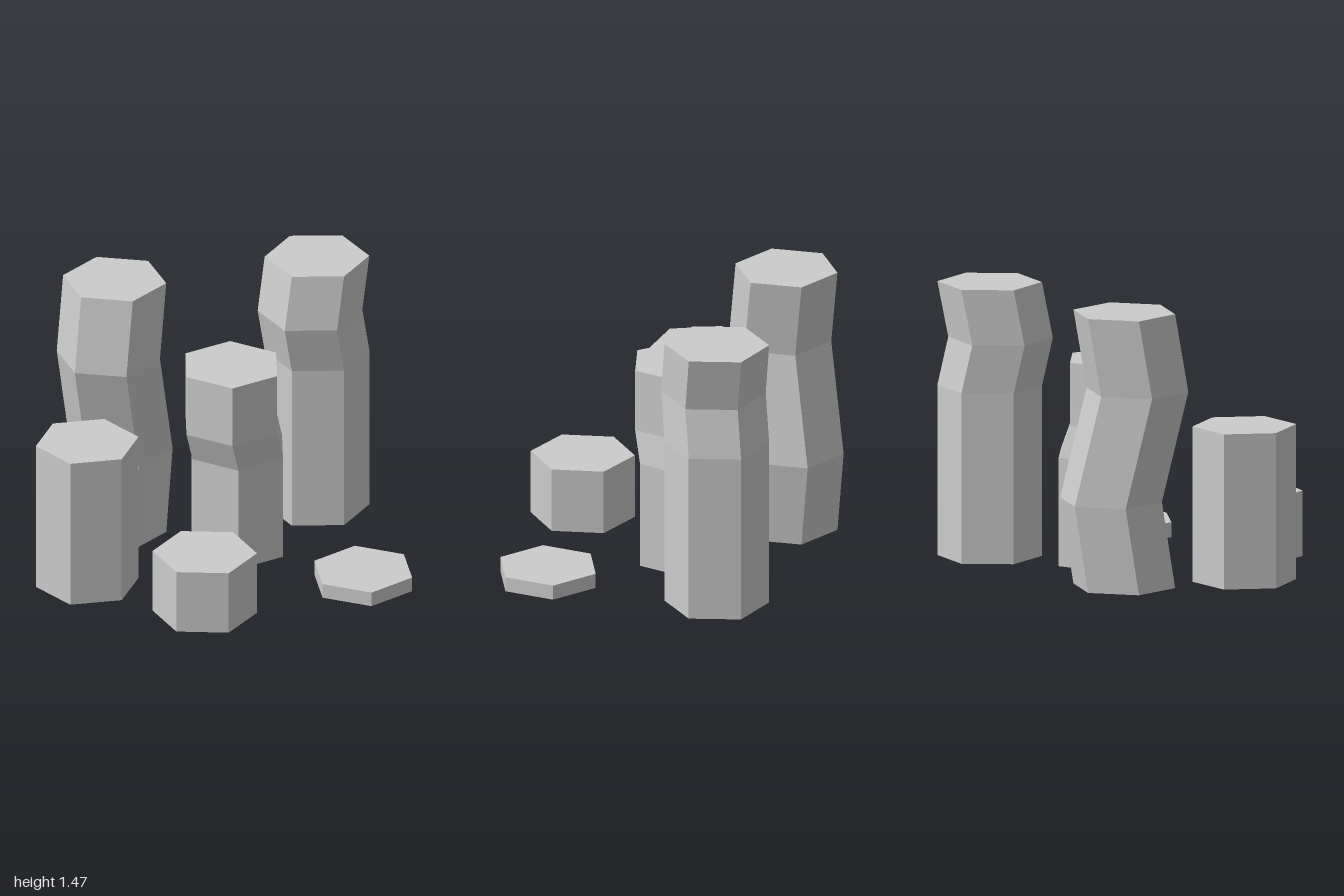
import * as THREE from 'three';

const RADIUS = 0.275;
const material = new THREE.MeshStandardMaterial({ color: 0xcccccc, flatShading: true, side: THREE.DoubleSide });

// Hexagonal column, closed on top and open below.
// turn: direction of the first corner in degrees (from +x towards +z)
// rings: centre of each cross-section, [x, y, z], from bottom to top
function column(name, turn, rings) {
  const corner = ([x, y, z], i) => {
    const a = THREE.MathUtils.degToRad(turn + i * 60);
    return [x + RADIUS * Math.cos(a), y, z + RADIUS * Math.sin(a)];
  };
  const positions = [];
  const triangle = (a, b, c) => positions.push(...a, ...b, ...c);
  const top = rings[rings.length - 1];

  for (let i = 0; i < 6; i++) {
    // side walls between neighbouring cross-sections
    for (let r = 0; r < rings.length - 1; r++) {
      const a = corner(rings[r], i), b = corner(rings[r], i + 1);
      const c = corner(rings[r + 1], i + 1), d = corner(rings[r + 1], i);
      triangle(a, d, c);
      triangle(a, c, b);
    }
    // top face
    triangle(top, corner(top, i + 1), corner(top, i));
  }

  const geometry = new THREE.BufferGeometry();
  geometry.setAttribute('position', new THREE.Float32BufferAttribute(positions, 3));
  geometry.computeVertexNormals();
  const mesh = new THREE.Mesh(geometry, material);
  mesh.name = name;
  return mesh;
}

// Straight column at one spot
const straight = (name, turn, x, z, height) => column(name, turn, [[x, 0, z], [x, height, z]]);

export function createModel() {
  const group = new THREE.Group();
  group.name = 'basaltColumns';
  group.add(
    // low and medium straight columns
    straight('sideColumn', 20, -0.737, -0.12, 0.83),
    straight('shortColumn', -26, -0.385, 0.49, 0.35),
    straight('steppingStone', -8, 0.5, 0.635, 0.08),
    // bent columns
    column('middleColumn', 0, [[0.158, 0, -0.078], [0.158, 0.58, -0.078], [0.105, 0.75, -0.05], [0.105, 1.09, -0.05]]),
    column('tallSideColumn', 30, [[0.76, 0, -0.263], [0.76, 0.91, -0.263], [0.705, 1.17, -0.243], [0.76, 1.465, -0.263]]),
    column('tallBackColumn', -19, [[-0.287, 0, -0.585], [-0.227, 0.46, -0.62], [-0.347, 1.05, -0.55], [-0.287, 1.465, -0.585]]),
  );
  return group;
}
